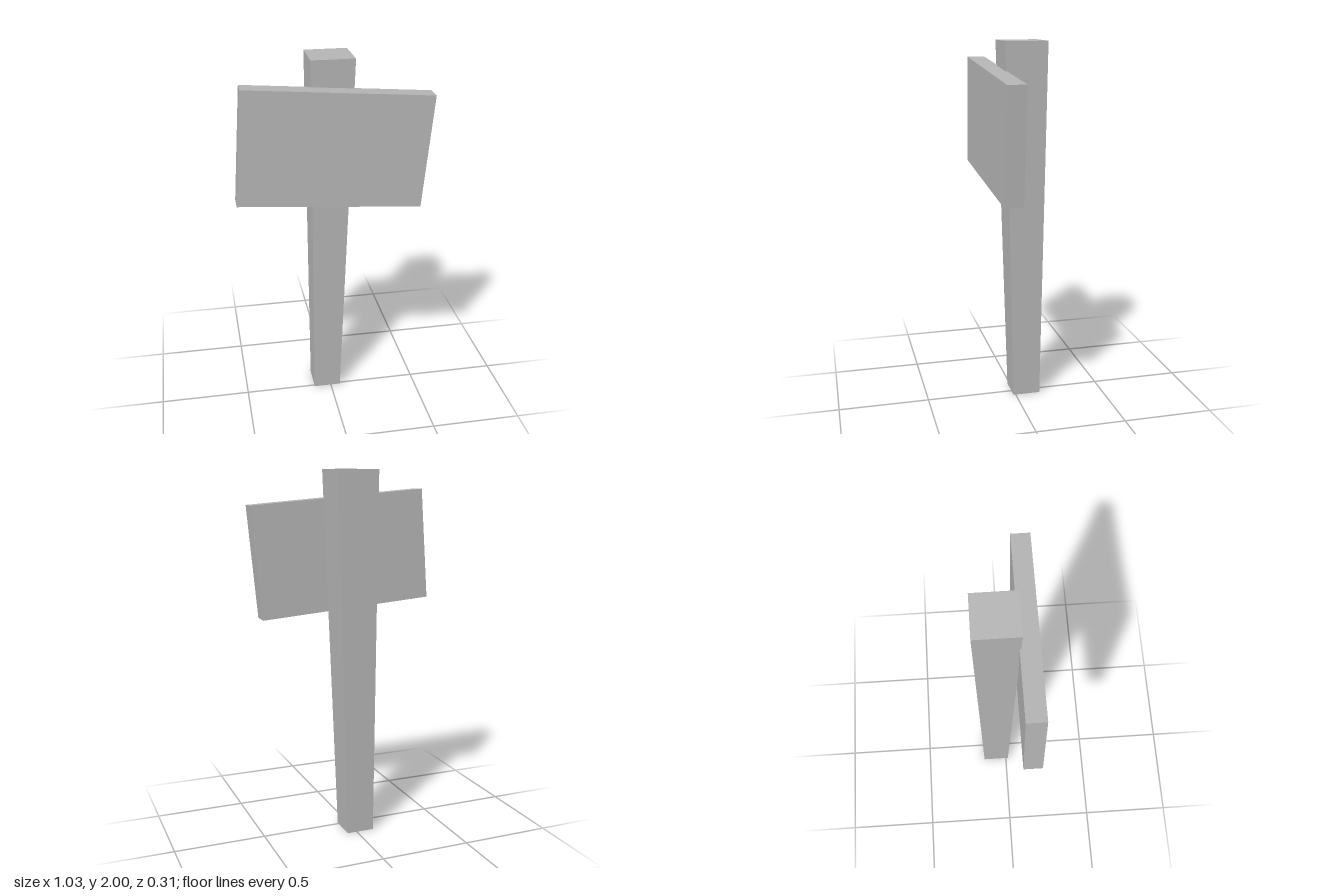
import * as THREE from 'three';

export function createModel() {
  const model = new THREE.Group();
  const grey = new THREE.MeshStandardMaterial({ color: 0xb4b4b4 });
  grey.name = 'grey';

  // Square post, narrower and slightly offset at the foot
  const postGeometry = new THREE.BoxGeometry(1, 2, 1).translate(0, 1, 0);
  const top = { size: 0.229, x: 0.001, z: -0.043 };
  const foot = { size: 0.154, x: -0.022, z: -0.064 };
  const p = postGeometry.attributes.position;
  for (let i = 0; i < p.count; i++) {
    const end = p.getY(i) > 1 ? top : foot;
    p.setX(i, p.getX(i) * end.size + end.x);
    p.setZ(i, p.getZ(i) * end.size + end.z);
  }
  // Flat normals for the tapered sides
  const flatPost = postGeometry.toNonIndexed();
  flatPost.computeVertexNormals();
  const post = new THREE.Mesh(flatPost, grey);
  post.name = 'post';
  model.add(post);

  // Crooked sign board on the front of the post
  const outline = new THREE.Shape([
    new THREE.Vector2(-0.517, 1.283),
    new THREE.Vector2(0.46, 1.208),
    new THREE.Vector2(0.515, 1.815),
    new THREE.Vector2(-0.473, 1.893),
  ]);
  const boardGeometry = new THREE.ExtrudeGeometry(outline, { depth: 0.098, bevelEnabled: false });
  const board = new THREE.Mesh(boardGeometry, grey);
  board.name = 'signBoard';
  board.position.z = 0.059;
  model.add(board);

  return model;
}
